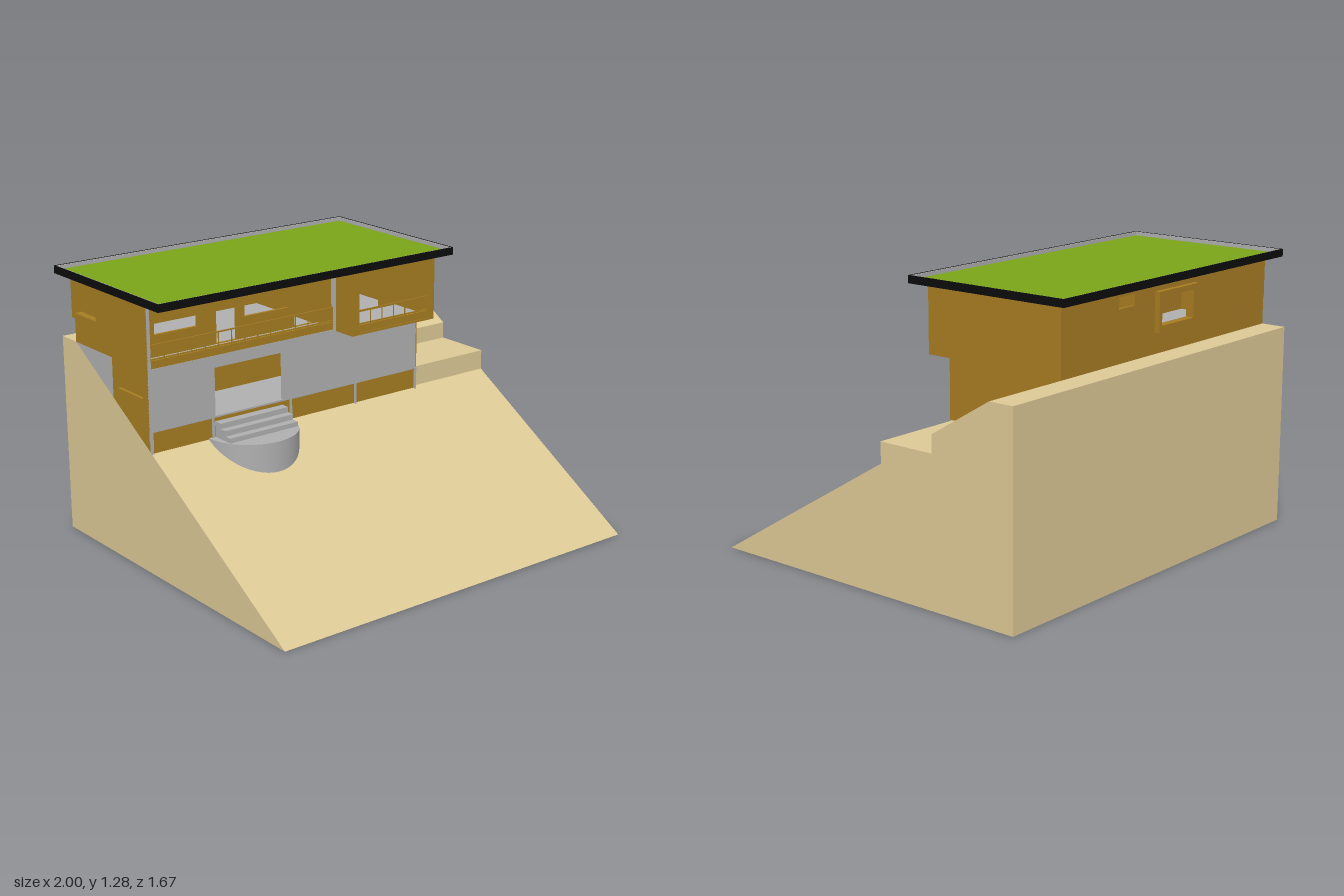
import * as THREE from 'three';

const mat = (color) => new THREE.MeshStandardMaterial({ color, flatShading: true });
const WOOD = mat(0xa67c22), GREY = mat(0xb0b0b0), SAND = mat(0xddc996);
const BLACK = mat(0x0c0c0c), GREEN = mat(0x7aa518);

const rect = (x0, x1, y0, y1) => [[x0, y0], [x1, y0], [x1, y1], [x0, y1]];

export function createModel() {
  const model = new THREE.Group();

  const add = (name, geometry, material, parent = model) => {
    const mesh = new THREE.Mesh(geometry, material);
    mesh.name = name;
    parent.add(mesh);
    return mesh;
  };
  // Box given by its limits on each axis
  const box = (name, material, x0, x1, y0, y1, z0, z1, parent) => {
    const g = new THREE.BoxGeometry(x1 - x0, y1 - y0, z1 - z0);
    g.translate((x0 + x1) / 2, (y0 + y1) / 2, (z0 + z1) / 2);
    return add(name, g, material, parent);
  };
  const slab = (points, holes, depth) => {
    const toVectors = (list) => list.map(([a, b]) => new THREE.Vector2(a, b));
    const shape = new THREE.Shape(toVectors(points));
    shape.holes = holes.map((h) => new THREE.Path(toVectors(h)));
    return new THREE.ExtrudeGeometry(shape, { depth, bevelEnabled: false });
  };
  // Wall facing z, drawn in (x, y)
  const wallZ = (name, material, points, holes, z0, z1) =>
    add(name, slab(points, holes, z1 - z0).translate(0, 0, z0), material);
  // Wall facing x, drawn in (z, y)
  const wallX = (name, material, points, holes, x0, x1) =>
    add(name, slab(points, holes, x1 - x0).rotateY(-Math.PI / 2).translate(x1, 0, 0), material);

  // Terraced hillside, with an unbroken slope along the right edge
  wallX('hillside', SAND, [
    [0.835, 0], [-0.835, 0], [-0.835, 0.935], [-0.715, 0.935], [-0.41, 0.75],
    [-0.41, 0.67], [-0.125, 0.67], [-0.125, 0.575]], [], -0.93, 1);
  wallX('hillsideEdge', SAND, [
    [0.835, 0], [-0.835, 0], [-0.835, 0.935], [-0.715, 0.935], [-0.12, 0.575]], [], -0.94, -0.93);

  // Side walls
  wallX('leftWall', WOOD, [
    [0.01, 1.25], [-0.715, 1.25], [-0.715, 0.935], [-0.41, 0.75],
    [-0.41, 0.67], [-0.11, 0.67], [-0.11, 0.94], [0.01, 0.94]], [], 0.545, 0.56);
  wallX('rightWall', WOOD, [
    [-0.12, 1.25], [-0.715, 1.25], [-0.715, 0.935], [-0.41, 0.935], [-0.41, 0.75], [-0.12, 0.575]],
    [rect(-0.68, -0.5, 1.08, 1.205), rect(-0.37, -0.165, 0.805, 0.88)], -0.94, -0.925);
  wallX('rightFoundation', GREY, [[-0.715, 0.935], [-0.41, 0.75], [-0.41, 0.935]], [], -0.94, -0.925);

  // Back wall with a large and a small window
  const bigWindow = rect(-0.335, -0.1, 1.06, 1.185);
  wallZ('backWall', WOOD, rect(-0.925, 0.545, 0.935, 1.25),
    [bigWindow, rect(0.065, 0.175, 1.17, 1.22)], -0.715, -0.7);

  // Projecting window surrounds
  wallZ('backWindowFrame', WOOD, rect(-0.37, -0.08, 1.03, 1.21), [bigWindow], -0.74, -0.715);
  wallX('sideWindowFrame', WOOD, rect(-0.705, -0.475, 1.055, 1.23),
    [rect(-0.68, -0.5, 1.08, 1.205)], -0.96, -0.94);

  // Front wall with entrance and balcony opening
  wallZ('frontWall', GREY, [
    [-0.94, 0.67], [0.555, 0.67], [0.555, 0.94], [0.07, 0.94], [0.07, 1.25], [-0.94, 1.25]],
    [rect(-0.605, -0.235, 0.672, 0.895), rect(-0.93, 0.055, 0.95, 1.235)], -0.125, -0.11);

  // Lower room
  box('lowerFloor', GREY, -0.925, 0.545, 0.665, 0.673, -0.41, -0.11);
  box('lowerBackWall', WOOD, -0.925, 0.545, 0.67, 0.93, -0.41, -0.4);
  box('porchWall', WOOD, -0.62, -0.605, 0.67, 0.93, -0.2, -0.125);

  // Upper floor, set forward under the projecting bay
  box('upperFloor', GREY, -0.925, 0.545, 0.93, 0.95, -0.7, -0.125);
  box('bayFloor', GREY, 0.085, 0.545, 0.945, 0.955, -0.25, 0);
  box('bayBase', WOOD, 0.07, 0.545, 0.94, 0.945, -0.11, 0);

  // Inner facade behind the balconies
  wallZ('innerFacade', WOOD, rect(-0.925, 0.545, 0.94, 1.25), [
    rect(-0.82, -0.595, 1.05, 1.185), rect(-0.495, -0.385, 0.952, 1.215),
    rect(-0.34, -0.095, 1.05, 1.19), rect(-0.06, 0.045, 0.952, 1.215),
    rect(0.305, 0.45, 0.957, 1.215)], -0.265, -0.25);
  box('partition', WOOD, 0.05, 0.062, 0.95, 1.25, -0.7, -0.265);

  // Projecting bay
  box('baySideWall', WOOD, 0.07, 0.085, 0.94, 1.25, -0.25, 0);
  wallZ('bayFront', WOOD, rect(0.07, 0.545, 0.94, 1.25), [rect(0.11, 0.525, 0.95, 1.215)], 0, 0.01);

  // Balcony railings: kick board, two rails and thin posts
  const railing = (name, x0, x1, z, count) => {
    const group = new THREE.Group();
    group.name = name;
    model.add(group);
    box('kickBoard', WOOD, x0, x1, 0.95, 0.985, z - 0.008, z, group);
    for (const y of [0.988, 1.05]) box('rail', WOOD, x0, x1, y, y + 0.006, z - 0.006, z, group);
    for (let i = 0; i <= count; i++) {
      const x = x0 + 0.002 + ((x1 - x0 - 0.004) * i) / count;
      box('post', WOOD, x - 0.002, x + 0.002, 0.985, 1.052, z - 0.005, z - 0.001, group);
    }
  };
  railing('balconyRailing', -0.93, 0.055, -0.112, 14);
  railing('bayRailing', 0.11, 0.525, 0.007, 6);

  // Plinth boards between short posts
  const plinthPosts = [-0.935, -0.617, -0.19, 0.187, 0.555];
  plinthPosts.forEach((x, i) => {
    box('plinthPost', GREY, x - 0.005, x + 0.005, 0.56, 0.672, -0.125, -0.108);
    if (i > 0) box('plinthBoard', WOOD, plinthPosts[i - 1] + 0.005, x - 0.005, 0.56, 0.67, -0.125, -0.115);
  });

  // Round landing and entrance steps
  const landing = new THREE.CylinderGeometry(0.22, 0.22, 0.155, 48);
  landing.translate(-0.42, 0.4975, -0.11);
  const landingMaterial = new THREE.MeshStandardMaterial({ color: 0xb0b0b0 });
  add('landing', landing, landingMaterial);
  for (let i = 0; i < 3; i++) {
    box('step', GREY, -0.605, -0.235, 0.575, 0.597 + i * 0.025, -0.125, -i * 0.036);
  }

  // Roof: soffit, planted deck, dark fascia with a pale inner lining
  const ring = (name, material, inset, y0, y1, width) => {
    const edge = (d) => rect(-1 + d, 0.62 - d, -0.07 + d, 0.775 - d);
    const g = slab(edge(inset), [edge(inset + width)], y1 - y0);
    add(name, g.rotateX(-Math.PI / 2).translate(0, y0, 0), material);
  };
  ring('fascia', BLACK, 0, 1.25, 1.285, 0.006);
  ring('roofLining', GREY, 0.006, 1.252, 1.284, 0.005);
  box('soffit', GREY, -0.992, 0.612, 1.25, 1.258, -0.767, 0.062);
  box('plantedRoof', GREEN, -0.989, 0.609, 1.258, 1.266, -0.764, 0.059);

  return model;
}
